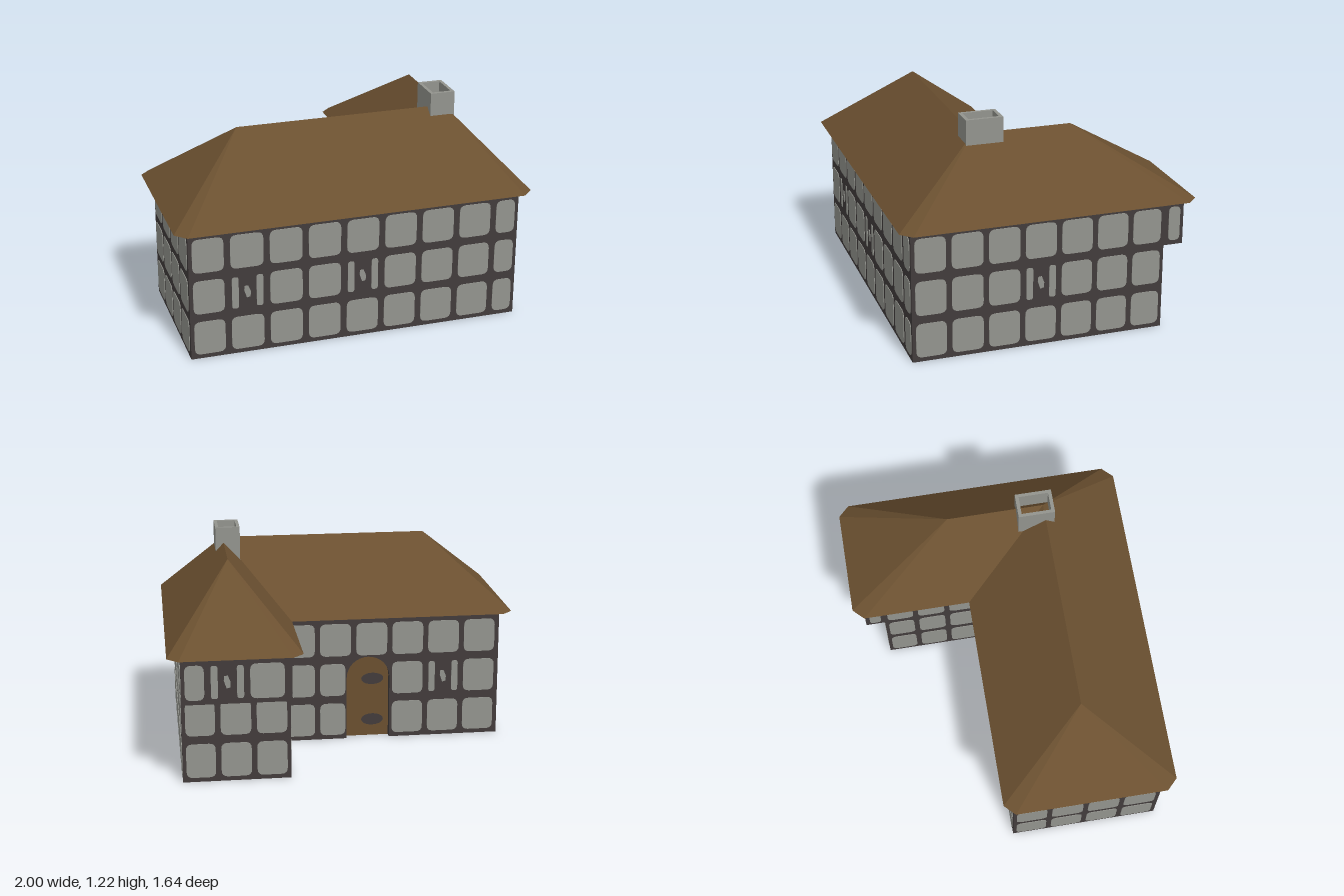
import * as THREE from 'three';

const mat = (name, color, side = THREE.FrontSide) => {
  const m = new THREE.MeshStandardMaterial({ color, side });
  m.name = name;
  return m;
};

export function createModel() {
  const mortar = mat('dark mortar', 0x423c3c, THREE.DoubleSide);
  const stone = mat('grey stone', 0x93948e);
  const brown = mat('brown wood', 0x6b5030, THREE.DoubleSide);
  const white = mat('white reveal', 0xffffff, THREE.DoubleSide);

  const house = new THREE.Group();
  house.name = 'stoneHouse';
  const add = (parent, name, geo, material, x = 0, y = 0, z = 0) => {
    const m = new THREE.Mesh(geo, material);
    m.name = name;
    m.position.set(x, y, z);
    parent.add(m);
    return m;
  };
  const polygon = pts => new THREE.Shape(pts.map(p => new THREE.Vector2(p[0], p[1])));
  const flat = pts => new THREE.ShapeGeometry(polygon(pts)).rotateX(Math.PI / 2);

  // Rounded stone let through the wall so it shows on both faces
  const T = 0.007;
  const addStone = (wall, x0, x1, y0, y1) => {
    const r = Math.min(0.035, (x1 - x0) * 0.4);
    const s = new THREE.Shape();
    s.moveTo(x0 + r, y0);
    s.lineTo(x1 - r, y0); s.quadraticCurveTo(x1, y0, x1, y0 + r);
    s.lineTo(x1, y1 - r); s.quadraticCurveTo(x1, y1, x1 - r, y1);
    s.lineTo(x0 + r, y1); s.quadraticCurveTo(x0, y1, x0, y1 - r);
    s.lineTo(x0, y0 + r); s.quadraticCurveTo(x0, y0, x0 + r, y0);
    add(wall, 'stone', new THREE.ExtrudeGeometry(s, { depth: T, bevelEnabled: false, curveSegments: 4 }), stone, 0, 0, -T / 2);
  };

  // Narrow window: two pale bars and a small slanted pane
  const addWindow = (wall, x0, x1, y0, y1) => {
    addStone(wall, x0 + 0.005, x0 + 0.042, y0 + 0.005, y1 - 0.005);
    addStone(wall, x1 - 0.04, x1 - 0.003, y0 + 0.005, y1 - 0.005);
    const cx = (x0 + x1) / 2, cy = (y0 + y1) / 2;
    const pane = polygon([[-0.004, -0.035], [0.016, -0.03], [0.018, 0], [0.004, 0.035], [-0.016, 0.033], [-0.018, 0.008]]);
    add(wall, 'windowPane', new THREE.ExtrudeGeometry(pane, { depth: T, bevelEnabled: false }), stone, cx, cy, -T / 2);
  };

  // Door opening, in the local frame of its wall
  const door = { x0: 0.38, x1: 0.63, spring: 0.37, r: 0.125, cx: 0.505, depth: 0.04 };
  const archPoints = Array.from({ length: 17 }, (_, i) => {
    const a = Math.PI * (1 - i / 16);
    return [door.cx + door.r * Math.cos(a), door.spring + door.r * Math.sin(a)];
  });
  const doorOutline = [[door.x0, 0], ...archPoints, [door.x1, 0]];

  // Wall running along local x, facing local z, with rows of stones
  const makeWall = (name, x, z, turn, len, o = {}) => {
    const { y0 = 0, y1 = 0.74, off = 0.015, period = 0.2025, gap = 0.03, rows = [0, 1, 2], windows = [], hasDoor } = o;
    const wall = new THREE.Group();
    wall.name = name;
    wall.position.set(x, 0, z);
    wall.rotation.y = turn * Math.PI / 2;
    house.add(wall);
    const outline = [[0, y0], ...(hasDoor ? doorOutline : []), [len, y0], [len, y1], [0, y1]];
    add(wall, name + 'Mortar', new THREE.ShapeGeometry(polygon(outline)), mortar);
    for (const row of rows) {
      for (let c = 0; off + c * period < len; c++) {
        let a = Math.max(0.02, off + c * period);
        let b = Math.min(len - 0.02, off + (c + 1) * period - gap);
        if (hasDoor && row < 2) {
          if (a < door.x0 && b > door.x0) b = door.x0 - 0.008;
          else if (a < door.x1 && b > door.x1) a = door.x1 + 0.008;
          else if (a >= door.x0 && b <= door.x1) continue;
        }
        if (b - a < 0.03) continue;
        const isWindow = windows.some(w => w[0] === c && w[1] === row);
        (isWindow ? addWindow : addStone)(wall, a, b, 0.025 + row * 0.24, 0.218 + row * 0.24);
      }
    }
    return wall;
  };

  makeWall('frontWall', -0.93, 0.76, 0, 1.86, { off: 0.01, period: 0.215, gap: 0.035, windows: [[1, 1], [4, 1]] });
  makeWall('leftWall', 0.93, 0.76, 1, 1.41, { windows: [[3, 1]] });
  makeWall('wingBackWall', 0.93, -0.65, 2, 0.59, { y1: 0.48, period: 0.195, rows: [0, 1] });
  makeWall('wingInnerWall', 0.34, -0.65, -1, 0.56, { period: 0.186 });
  const backWall = makeWall('backWall', 0.34, -0.09, 2, 1.27, { period: 0.21, windows: [[4, 1]], hasDoor: true });
  makeWall('rightWall', -0.93, -0.09, -1, 0.85, { period: 0.21 });

  // Jettied upper storey at the end of the wing
  const jetty = { y0: 0.48, rows: [2] };
  makeWall('jettyBackWall', 0.93, -0.76, 2, 0.59, { ...jetty, off: -0.06, period: 0.213, windows: [[1, 2]] });
  makeWall('jettyLeftWall', 0.93, -0.65, 1, 0.11, { ...jetty, off: 0.025 });
  makeWall('jettyInnerWall', 0.34, -0.76, -1, 0.11, { ...jetty, off: 0.025 });
  add(house, 'jettyFloor', flat([[0.34, -0.76], [0.93, -0.76], [0.93, -0.65], [0.34, -0.65]]), mortar, 0, 0.48, 0);

  // Ceiling over the L-shaped plan
  add(house, 'ceiling', flat([[-0.93, 0.76], [0.93, 0.76], [0.93, -0.76], [0.34, -0.76], [0.34, -0.09], [-0.93, -0.09]]), mortar, 0, 0.732, 0);

  // Recessed arched door with its reveal and dark knots
  add(backWall, 'door', new THREE.ShapeGeometry(polygon(doorOutline)), brown, 0, 0, -door.depth);
  for (const [side, material] of [[-1, white], [1, mortar]]) {
    const jamb = new THREE.PlaneGeometry(door.depth, door.spring).rotateY(Math.PI / 2);
    add(backWall, 'doorJamb', jamb, material, door.cx + side * door.r, door.spring / 2, -door.depth / 2);
    const start = side < 0 ? Math.PI : Math.PI / 2;
    const arch = new THREE.CylinderGeometry(door.r, door.r, door.depth, 8, 1, true, start, Math.PI / 2).rotateX(Math.PI / 2);
    add(backWall, 'doorArch', arch, material, door.cx, door.spring, -door.depth / 2);
  }
  for (const y of [0.1, 0.35]) {
    const knot = add(backWall, 'doorKnot', new THREE.CircleGeometry(1, 20), mortar, 0.535, y, -door.depth + 0.004);
    knot.scale.set(0.065, 0.035, 1);
  }

  // Hipped L-shaped roof: eave corners, then the three ridge points
  const eave = [[-0.94, 0.82], [0.94, 0.82], [1, 0.76], [1, -0.76], [0.94, -0.82], [0.34, -0.82],
    [0.28, -0.76], [0.28, -0.15], [-0.94, -0.15], [-1, -0.09], [-1, 0.76]];
  const ridge = [[-0.55, 0.335], [0.64, 0.335], [0.64, -0.21]];
  const verts = [...eave.map(p => [p[0], 0.74, p[1]]), ...ridge.map(p => [p[0], 1.13, p[1]])];
  const [P, Q, R] = [11, 12, 13];
  const faces = [[0, 1, Q, P], [1, 2, Q], [2, 3, R, Q], [3, 4, R], [4, 5, R], [5, 6, R],
    [6, 7, Q, R], [7, 8, P, Q], [8, 9, P], [9, 10, P], [10, 0, P]];
  const pos = [];
  for (const f of faces)
    for (let i = 1; i < f.length - 1; i++) pos.push(...verts[f[0]], ...verts[f[i]], ...verts[f[i + 1]]);
  const roofGeo = new THREE.BufferGeometry();
  roofGeo.setAttribute('position', new THREE.Float32BufferAttribute(pos, 3));
  roofGeo.computeVertexNormals();
  add(house, 'roof', roofGeo, brown);
  add(house, 'eaveUnderside', flat(eave), brown, 0, 0.739, 0);

  // Hollow chimney
  const rect = (Kind, w, d) => new Kind([[-w, -d], [w, -d], [w, d], [-w, d]].map(p => new THREE.Vector2(...p)));
  const stack = rect(THREE.Shape, 0.07, 0.1025);
  stack.holes.push(rect(THREE.Path, 0.052, 0.083));
  const stackGeo = new THREE.ExtrudeGeometry(stack, { depth: 0.22, bevelEnabled: false }).rotateX(-Math.PI / 2);
  add(house, 'chimney', stackGeo, stone, 0.615, 1.0, 0.2825);

  return house;
}
